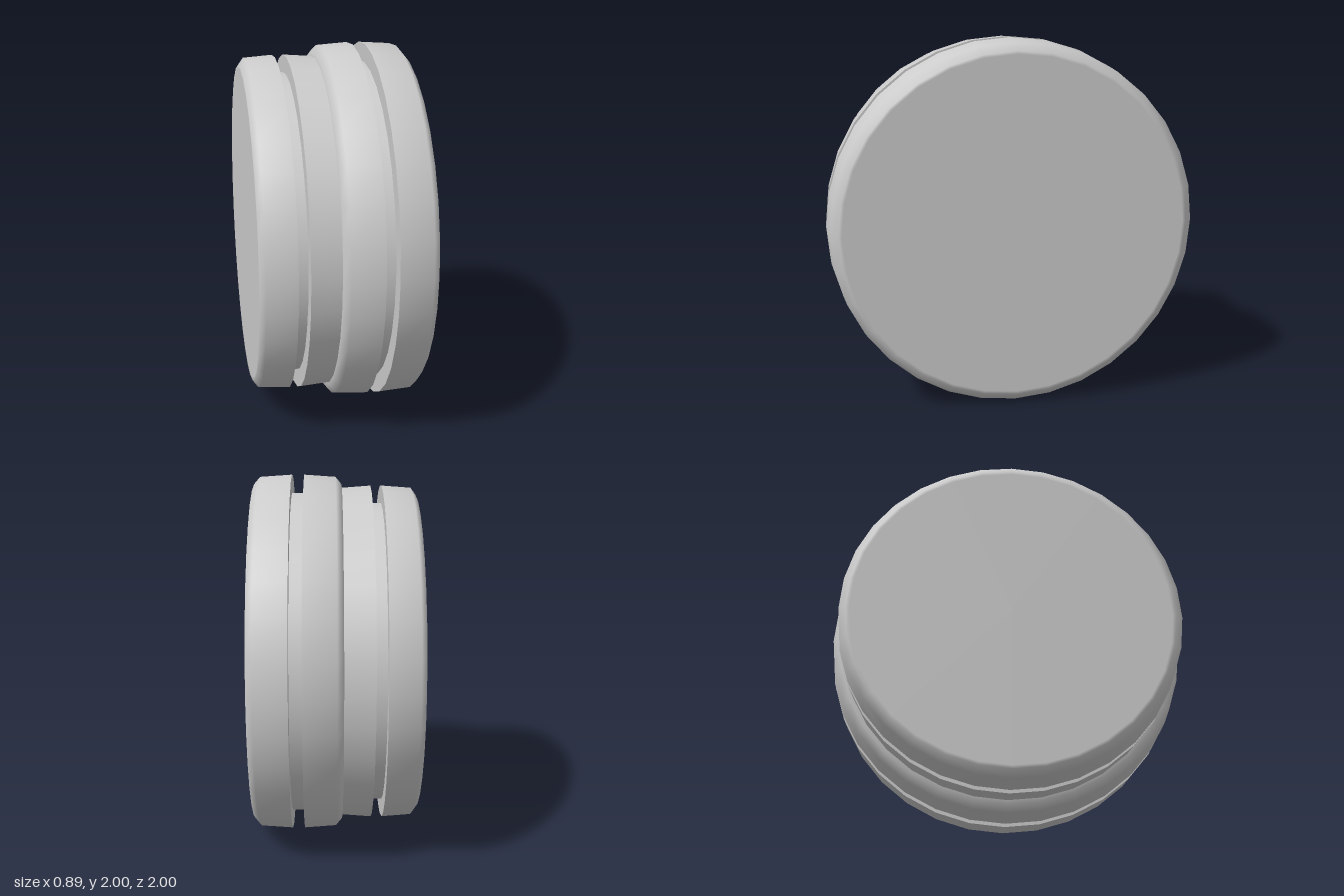
import * as THREE from 'three';

const material = new THREE.MeshStandardMaterial({ color: 0xcccccc });
const SIDES = 32;

// Smooth surface of revolution about the x axis; points are [x, radius] from -x to +x
function turned(name, points) {
  const geometry = new THREE.LatheGeometry(points.map(([x, r]) => new THREE.Vector2(r, x)), SIDES);
  geometry.rotateZ(-Math.PI / 2);
  const mesh = new THREE.Mesh(geometry, material);
  mesh.name = name;
  return mesh;
}

// Square groove: two walls and a floor, each kept sharp
function groove(name, x0, x1, outer, floor) {
  const group = new THREE.Group();
  group.name = name;
  group.add(
    turned('grooveWall', [[x0, outer], [x0, floor]]),
    turned('grooveFloor', [[x0, floor], [x1, floor]]),
    turned('grooveWall', [[x1, floor], [x1, outer]])
  );
  return group;
}

export function createModel() {
  const model = new THREE.Group();
  model.name = 'groovedDisc';

  // Smaller disc on the -x side
  const small = new THREE.Group();
  small.name = 'smallDisc';
  small.add(
    turned('smallCapAndRim', [[-0.447, 0], [-0.447, 0.87], [-0.447, 0.888], [-0.418, 0.928], [-0.257, 0.94]]),
    groove('smallGroove', -0.257, -0.196, 0.94, 0.842),
    turned('smallInnerRim', [[-0.196, 0.94], [-0.037, 0.928]])
  );

  // Larger disc on the +x side
  const large = new THREE.Group();
  large.name = 'largeDisc';
  large.add(
    turned('largeInnerRim', [[-0.037, 0.9], [-0.037, 0.947], [-0.003, 0.988], [0.169, 1]]),
    groove('largeGroove', 0.169, 0.237, 1, 0.9),
    turned('largeCapAndRim', [[0.237, 1], [0.412, 0.988], [0.447, 0.947], [0.447, 0.93], [0.447, 0]])
  );

  model.add(small, large);
  small.position.y = large.position.y = 1;
  return model;
}
